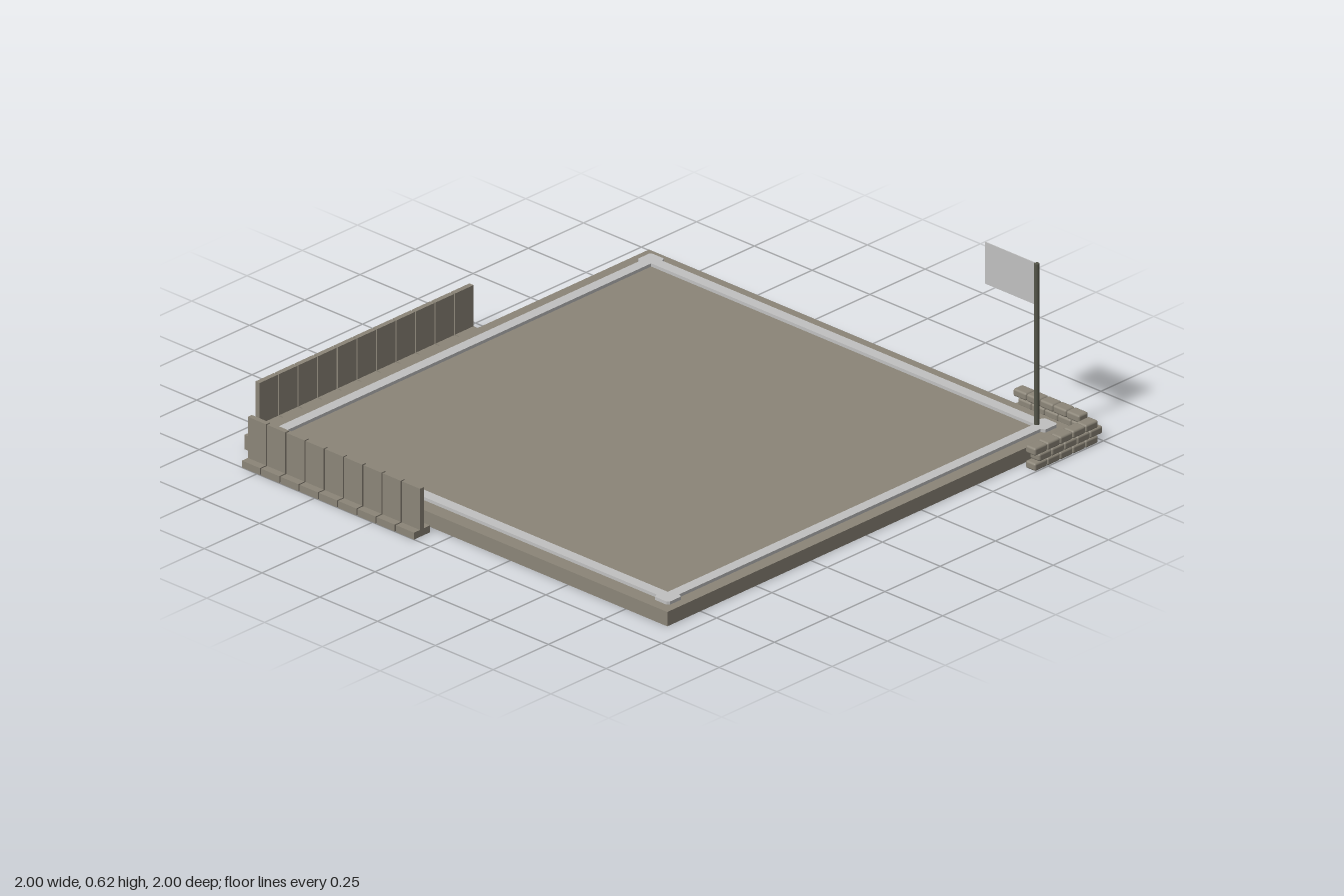
import * as THREE from 'three';
import { RoundedBoxGeometry } from 'three/addons/geometries/RoundedBoxGeometry.js';

const mat = (name, color, side = THREE.FrontSide) =>
  Object.assign(new THREE.MeshStandardMaterial({ color, side }), { name });

export function createModel() {
  const concrete = mat('concrete', 0x8b8578);
  const paleGrey = mat('paleGrey', 0xc0c0c0, THREE.DoubleSide);
  const darkMetal = mat('darkMetal', 0x55564a);

  const model = new THREE.Group();
  model.name = 'fortifiedPad';

  // Adds a mesh to a parent at a given centre
  function add(parent, name, geometry, material, x, y, z) {
    const mesh = new THREE.Mesh(geometry, material);
    mesh.name = name;
    mesh.position.set(x, y, z);
    parent.add(mesh);
    return mesh;
  }
  // Adds a box given by its lower and upper limits
  function box(parent, name, material, x0, x1, y0, y1, z0, z1) {
    return add(parent, name, new THREE.BoxGeometry(x1 - x0, y1 - y0, z1 - z0), material,
      (x0 + x1) / 2, (y0 + y1) / 2, (z0 + z1) / 2);
  }
  function group(name) {
    const g = new THREE.Group();
    g.name = name;
    model.add(g);
    return g;
  }

  // Foundation slab
  box(model, 'foundation', concrete, -0.9, 0.93, 0, 0.05, -0.9, 0.93);

  // Raised kerb: square ring with slightly wider corners
  const c = 0.015, outer = 0.882, inner = 0.829, tab = 0.065, o = outer - c;
  const corner = [[o, outer - tab], [outer, outer - tab + 0.008], [outer, outer - 0.008],
    [outer - 0.008, outer], [outer - tab + 0.008, outer], [outer - tab, o]];
  const outline = [];
  for (let i = 0; i < 4; i++) {
    const a = i * Math.PI / 2, cos = Math.cos(a), sin = Math.sin(a);
    for (const [x, y] of corner) outline.push(new THREE.Vector2(x * cos - y * sin, x * sin + y * cos));
  }
  const kerbShape = new THREE.Shape(outline);
  kerbShape.holes.push(new THREE.Path([[-1, -1], [-1, 1], [1, 1], [1, -1]]
    .map(([x, y]) => new THREE.Vector2(x * inner, y * inner))));
  const kerbGeometry = new THREE.ExtrudeGeometry(kerbShape, { depth: 0.012, bevelEnabled: false });
  kerbGeometry.rotateX(-Math.PI / 2);
  add(model, 'kerb', kerbGeometry, paleGrey, 0.018, 0.049, 0.018);

  // Rows of T-shaped barrier panels
  function barrierRow(name, count, pitch) {
    const row = group(name);
    const w = pitch - 0.005;
    for (let i = 0; i < count; i++) {
      const x = (i - (count - 1) / 2) * pitch;
      box(row, 'barrierFoot', concrete, x - w / 2, x + w / 2, 0, 0.024, -0.036, 0.036);
      box(row, 'barrierPanel', concrete, x - w / 2, x + w / 2, 0.024, 0.167, -0.009, 0.009);
    }
    return row;
  }
  barrierRow('backBarrier', 11, 0.0885).position.set(-0.29, 0, -0.964);
  const sideBarrier = barrierRow('rightBarrier', 9, 0.0833);
  sideBarrier.position.set(-0.964, 0, -0.443);
  sideBarrier.rotation.y = Math.PI / 2;

  // Sandbag wall: two wings meeting at the front left corner
  const bagGeometry = new RoundedBoxGeometry(0.057, 0.0265, 0.043, 2, 0.007);
  const sandbags = group('sandbagWall');
  for (let layer = 0; layer < 3; layer++) {
    const y = 0.0133 + layer * 0.0265;
    const shift = layer % 2 ? 0.02 : 0;
    for (let i = 0; i < 5; i++) {
      const along = 0.72 + i * 0.0575 + shift;
      add(sandbags, 'frontSandbag', bagGeometry, concrete, Math.min(along, 0.9715), y, 0.978);
      add(sandbags, 'sideSandbag', bagGeometry, concrete, 0.978, y, along - 0.0425)
        .rotation.y = Math.PI / 2;
    }
  }

  // Flagpole and flag
  add(model, 'flagpole', new THREE.CylinderGeometry(0.009, 0.009, 0.57, 12), darkMetal, 0.852, 0.335, 0.853);
  box(model, 'flag', paleGrey, 0.8505, 0.8535, 0.475, 0.62, 0.63, 0.848);

  return model;
}
